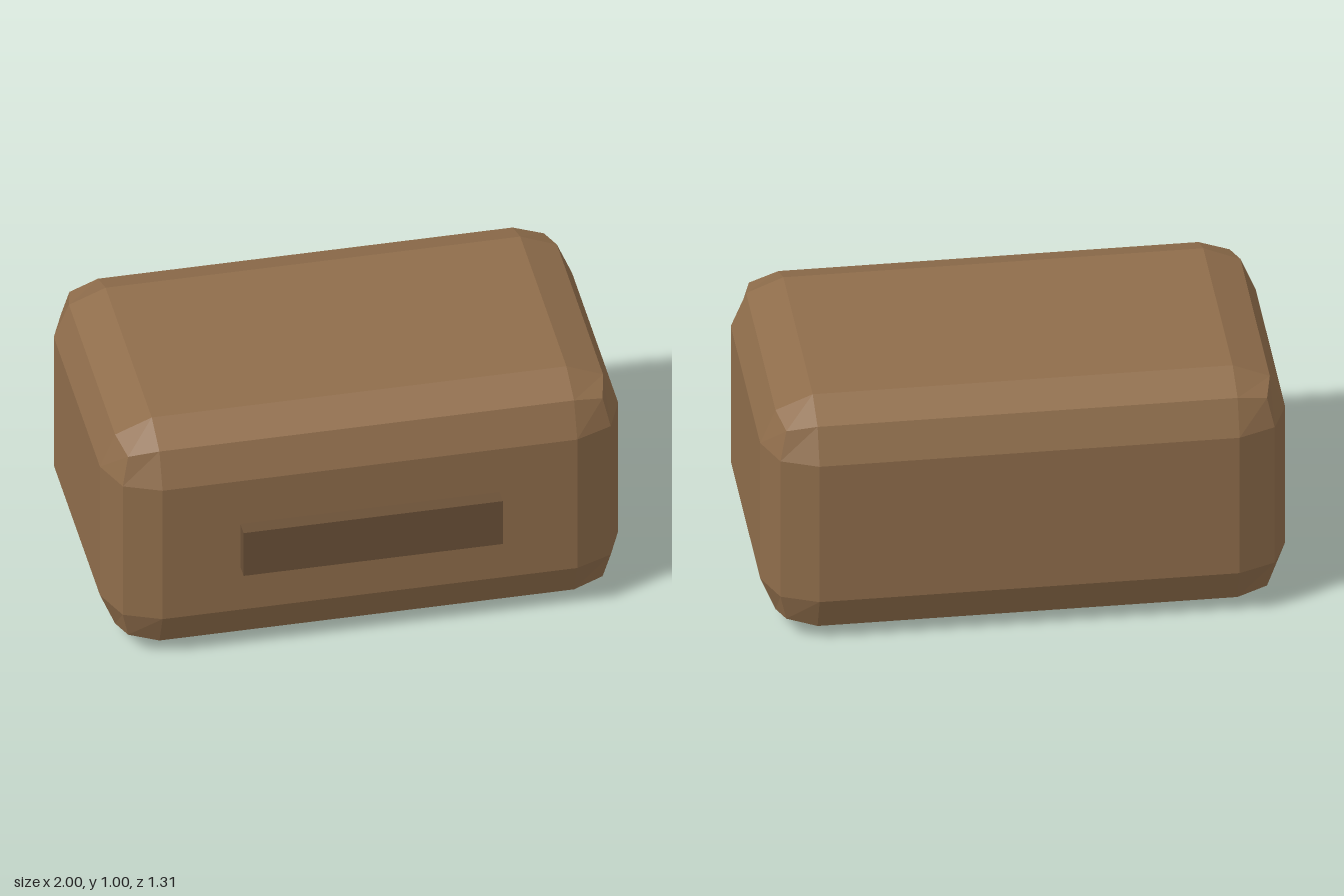
import * as THREE from 'three';
import { RoundedBoxGeometry } from 'three/addons/geometries/RoundedBoxGeometry.js';

export function createModel() {
  const group = new THREE.Group();
  const bodyBrown = new THREE.MeshStandardMaterial({ color: 0x8f6d4b });
  bodyBrown.name = 'bodyBrown';
  const handleBrown = new THREE.MeshStandardMaterial({ color: 0x6a5037 });
  handleBrown.name = 'handleBrown';

  const addPart = (name, geometry, material, x, y, z) => {
    const mesh = new THREE.Mesh(geometry, material);
    mesh.name = name;
    mesh.position.set(x, y, z);
    group.add(mesh);
  };

  // Chunky body: every edge is rounded in two facets, with faceted normals
  const bodyGeometry = new RoundedBoxGeometry(2, 1, 1.25, 1, 0.2);
  bodyGeometry.computeVertexNormals();
  addPart('body', bodyGeometry, bodyBrown, 0, 0.5, -0.03);

  // Flat bar handle set into the front
  addPart('handle', new THREE.BoxGeometry(1, 0.2, 0.1), handleBrown, 0, 0.5, 0.605);

  return group;
}
